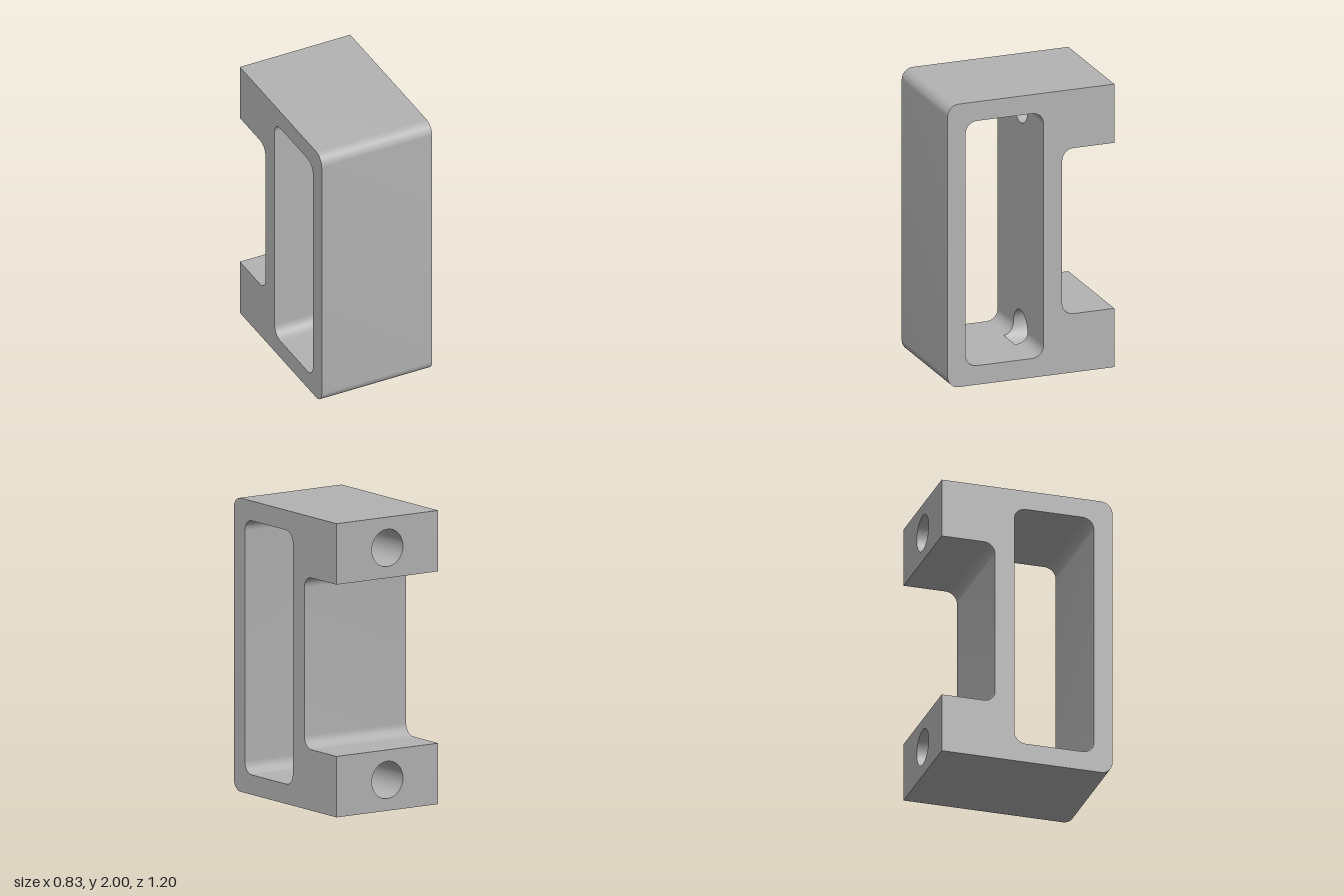
import * as THREE from 'three';
import { toCreasedNormals } from 'three/addons/utils/BufferGeometryUtils.js';

const W = 0.415;                 // half width
const R = 0.08;                  // fillet radius
const BACK = -0.6, FRONT = 0.6;
const POCKET = { back: -0.09, front: 0.47, low: 0.135, high: 1.865 };
const BORE = { y: 0.21, r: 0.127, steps: 96 };
const ARC = 16;

// Polyline in (z, y) with every inner corner rounded
function rounded(points, radius = R) {
  const out = [];
  points.forEach(([z, y], i) => {
    const p = new THREE.Vector2(z, y);
    if (i === 0 || i === points.length - 1) { out.push(p); return; }
    const u = p.clone().sub(new THREE.Vector2(...points[i - 1])).normalize();
    const v = new THREE.Vector2(...points[i + 1]).sub(p).normalize();
    const c = p.clone().addScaledVector(u, -radius).addScaledVector(v, radius);
    for (let k = 0; k <= ARC; k++) {
      const t = (k / ARC) * Math.PI / 2;
      out.push(c.clone().addScaledVector(v, -radius * Math.cos(t)).addScaledVector(u, radius * Math.sin(t)));
    }
  });
  return out;
}

// Surface between two rows of equal length
function ruled(rowA, rowB) {
  const pos = [];
  for (let i = 0; i < rowA.length - 1; i++) {
    const [a, b, c, d] = [rowA[i], rowB[i], rowB[i + 1], rowA[i + 1]];
    for (const p of [a, b, c, a, c, d]) pos.push(...p);
  }
  const g = new THREE.BufferGeometry();
  g.setAttribute('position', new THREE.Float32BufferAttribute(pos, 3));
  return toCreasedNormals(g, 0.5);
}

// A (z, y) polyline swept across the full width
const sweep = (path) => ruled(path.map((p) => [W, p.y, p.x]), path.map((p) => [-W, p.y, p.x]));

// Depth of the pocket's rear wall, including its two fillets
function wallZ(y) {
  const over = Math.min(R, Math.max(0, POCKET.low + R - y, y - POCKET.high + R));
  return POCKET.back + R - Math.sqrt(R * R - over * over);
}

// Half width of the bore opening at a height
function openingX(y) {
  const d = Math.min(Math.abs(y - BORE.y), Math.abs(y - 2 + BORE.y));
  return d < BORE.r ? Math.sqrt(BORE.r * BORE.r - d * d) : 0;
}

export function createModel() {
  const model = new THREE.Group();
  const metal = new THREE.MeshStandardMaterial({ color: 0xb3b3b3, side: THREE.DoubleSide });
  metal.name = 'plain grey';
  const add = (parent, name, geometry) => {
    const mesh = new THREE.Mesh(geometry, metal);
    mesh.name = name;
    parent.add(mesh);
    return mesh;
  };

  // Outline pieces
  const outer = rounded([[BACK, 0], [FRONT, 0], [FRONT, 2], [BACK, 2]]);
  const notch = rounded([[BACK, 1.585], [-0.225, 1.585], [-0.225, 0.415], [BACK, 0.415]]);
  const pocketZ = POCKET.back + R;
  const pocketFront = rounded([[pocketZ, POCKET.low], [POCKET.front, POCKET.low],
    [POCKET.front, POCKET.high], [pocketZ, POCKET.high]]);
  const pocketBack = rounded([[pocketZ, POCKET.high], [POCKET.back, POCKET.high],
    [POCKET.back, POCKET.low], [pocketZ, POCKET.low]]);

  add(model, 'outerShell', sweep(outer));
  add(model, 'rearNotch', sweep(notch));
  add(model, 'pocketFrontWall', sweep(pocketFront));

  // Side faces with the pocket cut out
  const profile = new THREE.Shape([...outer, ...notch]);
  profile.holes.push(new THREE.Path([...pocketFront, ...pocketBack.slice(1, -1)]));
  for (const side of [1, -1]) {
    const g = new THREE.ShapeGeometry(profile).rotateY(-Math.PI / 2);
    add(model, side > 0 ? 'leftFace' : 'rightFace', g).position.x = side * W;
  }

  // Rear pocket wall, left open around the two bores
  const heights = [];
  for (let k = 0; k <= ARC; k++) {
    heights.push(POCKET.low + R * (1 - Math.cos((k / ARC) * Math.PI / 2)));
  }
  for (let k = 0; k <= BORE.steps / 2; k++) {
    heights.push(BORE.y - BORE.r * Math.cos((k / BORE.steps) * Math.PI * 2));
  }
  const lower = heights.filter((y) => y >= POCKET.low).sort((a, b) => a - b);
  const rows = [...lower, ...lower.map((y) => 2 - y).reverse()];
  for (const side of [1, -1]) {
    add(model, 'pocketRearWall', ruled(
      rows.map((y) => [side * W, y, wallZ(y)]),
      rows.map((y) => [side * openingX(y), y, wallZ(y)])));
  }

  // Mounting feet: rear face, bore and the bore's end below the pocket floor
  for (const upper of [false, true]) {
    const foot = new THREE.Group();
    foot.name = upper ? 'upperFoot' : 'lowerFoot';

    const face = new THREE.Shape([[-W, 0], [W, 0], [W, 0.415], [-W, 0.415]].map((p) => new THREE.Vector2(...p)));
    face.holes.push(new THREE.Path().absarc(0, BORE.y, BORE.r, 0, Math.PI * 2, true));
    add(foot, 'rearFace', new THREE.ShapeGeometry(face, BORE.steps).rotateY(Math.PI)).position.z = BACK;

    const bore = new THREE.CylinderGeometry(BORE.r, BORE.r, 1, BORE.steps, 1, true)
      .rotateX(Math.PI / 2).translate(0, BORE.y, 0);
    const p = bore.attributes.position;
    for (let i = 0; i < p.count; i++) p.setZ(i, p.getZ(i) < 0 ? BACK : wallZ(p.getY(i)));
    add(foot, 'bore', bore);

    const a = Math.asin((BORE.y - POCKET.low) / BORE.r);
    const end = new THREE.Shape().absarc(0, BORE.y, BORE.r, Math.PI + a, 2 * Math.PI - a, false);
    add(foot, 'boreEnd', new THREE.ShapeGeometry(end, 24).rotateY(Math.PI)).position.z = pocketZ;

    if (upper) {
      foot.rotation.z = Math.PI;
      foot.position.y = 2;
    }
    model.add(foot);
  }
  return model;
}
